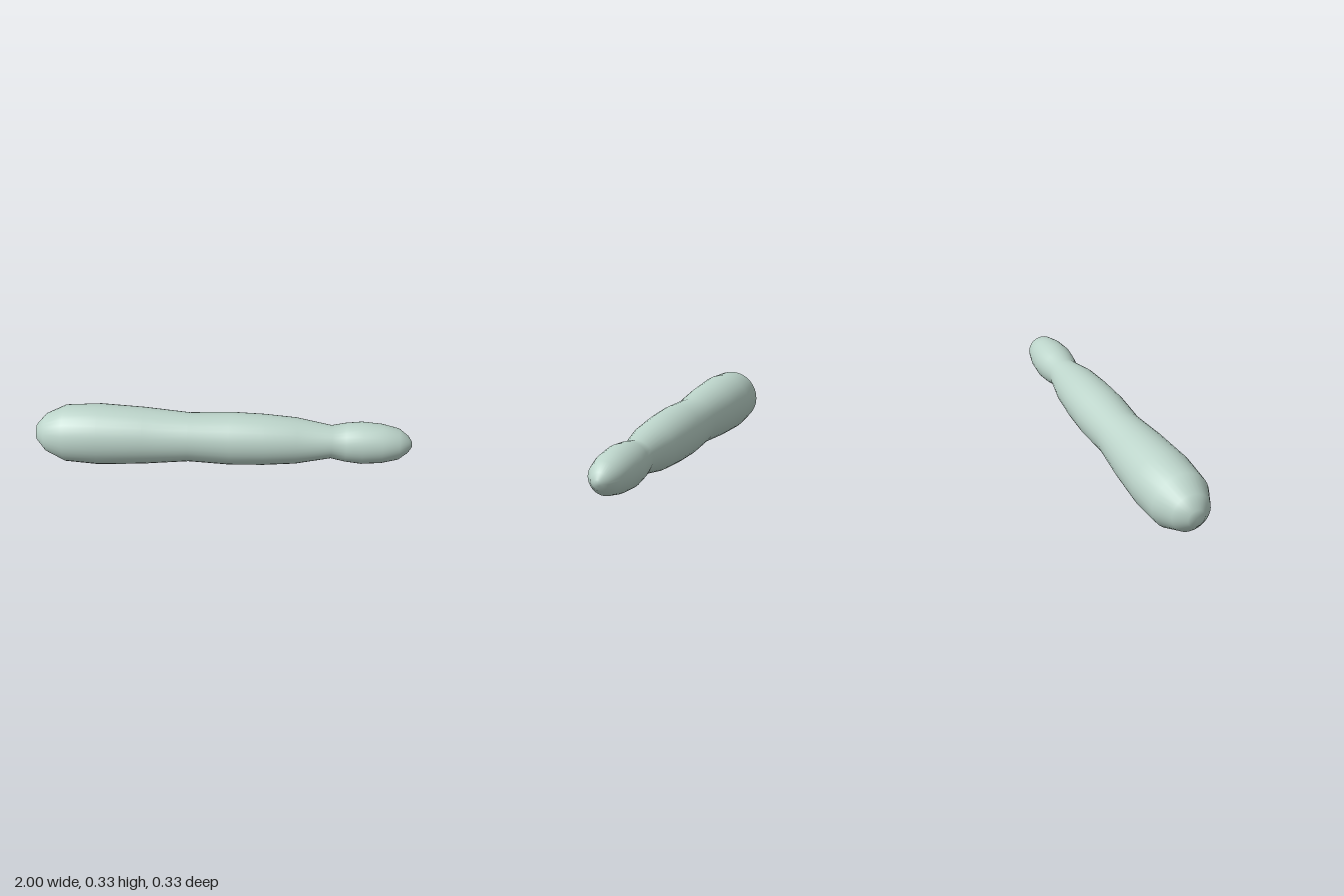
import * as THREE from 'three';

export function createModel() {
  const model = new THREE.Group();
  const paleGreen = new THREE.MeshStandardMaterial({ color: 0xbcd4ca });
  paleGreen.name = 'paleGreen';

  // Distance along the length and radius, from the thick end to the tip
  const profile = [
    [-1, 0], [-1, 0.045], [-0.95, 0.102], [-0.845, 0.152], [-0.66, 0.164], [-0.42, 0.152],
    [-0.18, 0.131], [0.04, 0.141], [0.22, 0.136], [0.39, 0.123], [0.575, 0.088],
    [0.65, 0.103], [0.735, 0.112], [0.84, 0.104], [0.93, 0.083], [0.98, 0.045], [1, 0.015], [1, 0],
  ].map(([along, radius]) => new THREE.Vector2(radius, along));

  // Three tapering sections turned as one smooth body, laid along x
  const geometry = new THREE.LatheGeometry(profile, 32);
  geometry.rotateZ(-Math.PI / 2);
  const body = new THREE.Mesh(geometry, paleGreen);
  body.name = 'segmentedBody';
  body.position.y = 0.165;
  model.add(body);
  return model;
}
